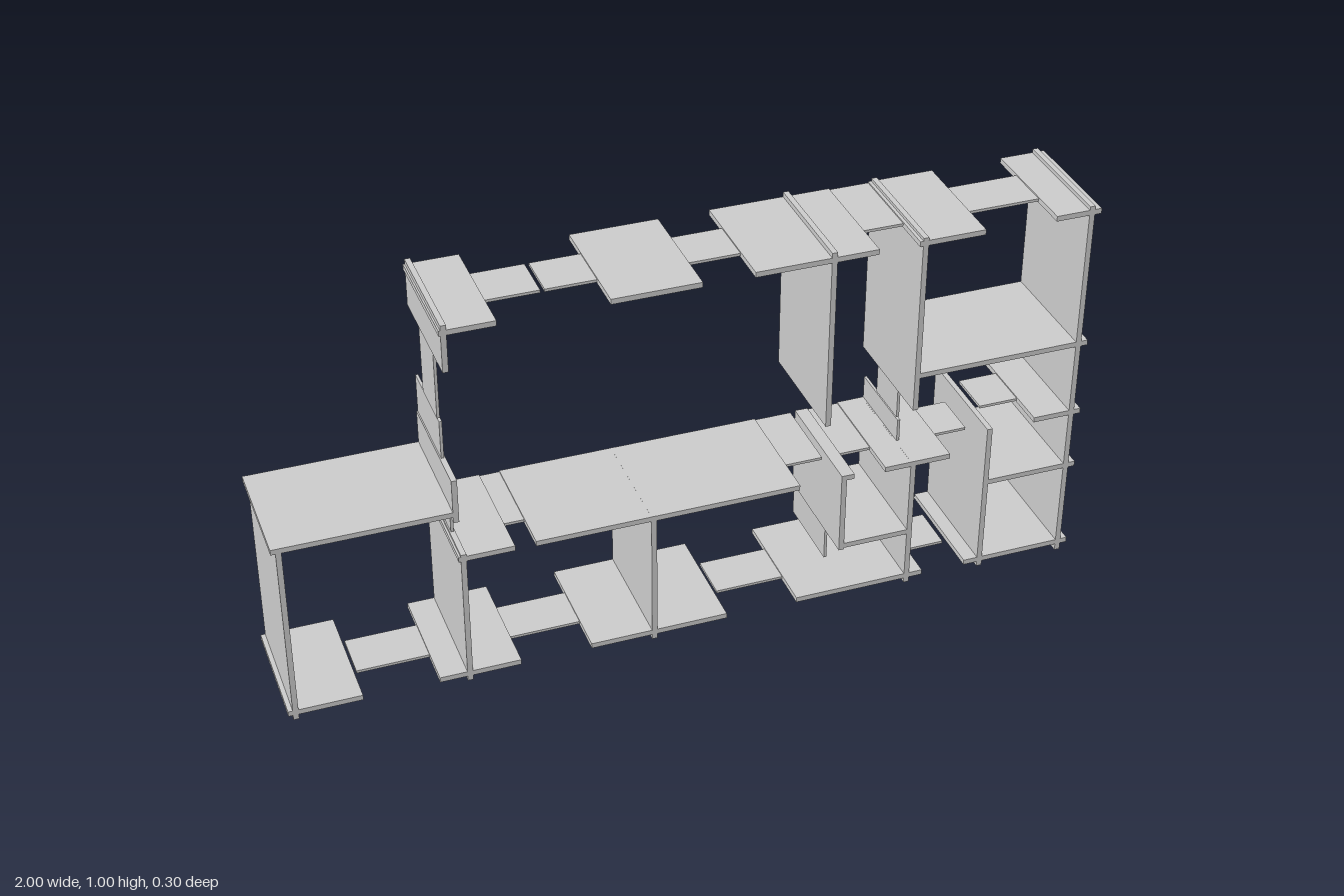
import * as THREE from 'three';

const T = 0.0135;   // board thickness
const LAP = 0.007;  // thickness of the lapped tongues
// depth ranges: whole board, central tongue, board with a notch at the front
const DEPTH = { full: [-0.15, 0.15], tongue: [-0.065, 0.055], notch: [-0.15, 0.055] };

export function createModel() {
  const group = new THREE.Group();
  const mat = new THREE.MeshStandardMaterial({ color: 0xcccccc });

  function box(name, x0, x1, y0, y1, kind) {
    const [z0, z1] = DEPTH[kind];
    const mesh = new THREE.Mesh(new THREE.BoxGeometry(x1 - x0, y1 - y0, z1 - z0), mat);
    mesh.position.set((x0 + x1) / 2, (y0 + y1) / 2, (z0 + z1) / 2);
    mesh.name = name;
    group.add(mesh);
  }
  const thick = (kind) => (kind === 'full' ? T : LAP) / 2;

  // a horizontal run of board segments: [x0, x1, kind]
  const shelf = (name, y, segments) => segments.forEach(([a, b, kind = 'full']) =>
    box(name, a, b, y - thick(kind), y + thick(kind), kind));

  // a vertical run of board segments: [y0, y1, kind]
  const upright = (name, x, segments) => segments.forEach(([a, b, kind = 'full']) =>
    box(name, x - thick(kind), x + thick(kind), a, b, kind));

  // Long shelves, jointed with thin tongues
  shelf('topShelf', 0.976, [
    [-0.59, -0.46], [-0.46, -0.332, 'tongue'], [-0.322, -0.2, 'tongue'],
    [-0.2, 0.015], [0.015, 0.14, 'tongue'], [0.14, 0.44], [0.44, 0.54, 'notch'],
    [0.54, 0.705], [0.705, 0.885, 'tongue'], [0.885, 1],
  ]);
  shelf('middleShelf', 0.363, [
    [-0.575, -0.44], [-0.44, -0.39, 'notch'], [-0.39, 0.265], [0.265, 0.36, 'notch'],
    [0.375, 0.405], [0.405, 0.485, 'notch'], [0.485, 0.655], [0.655, 0.74, 'tongue'],
  ]);
  shelf('bottomShelf', 0.025, [
    [-1, -0.822], [-0.815, -0.637, 'tongue'], [-0.637, -0.437],
    [-0.437, -0.262, 'tongue'], [-0.262, 0.083], [0.092, 0.265, 'tongue'],
    [0.265, 0.6], [0.6, 0.7, 'tongue'], [0.715, 1],
  ]);

  // Short shelves
  shelf('leftBayShelf', 0.492, [[-1, -0.575]]);
  shelf('smallBayShelf', 0.161, [[0.38, 0.56]]);
  shelf('rightLowShelf', 0.26, [[0.757, 1]]);
  shelf('rightMiddleShelf', 0.418, [[0.775, 0.875, 'tongue'], [0.875, 1]]);
  shelf('rightUpperShelf', 0.615, [[0.555, 1]]);

  // Uprights
  upright('endUpright', -0.982, [[0.005, 0.498]]);
  upright('lowerLeftUpright', -0.563, [[0.005, 0.375], [0.375, 0.47, 'notch']]);
  upright('upperLeftUpright', -0.575, [[0.47, 0.585], [0.585, 0.685, 'notch']]);
  upright('topLeftUpright', -0.579, [[0.695, 0.875, 'tongue'], [0.875, 0.995]]);
  upright('centreUpright', -0.102, [[0.005, 0.37]]);
  upright('hangingUpright', 0.331, [[0.525, 0.995]]);
  upright('smallBayUpright', 0.379, [[0.06, 0.15, 'notch'], [0.15, 0.37]]);
  upright('lowerBayUpright', 0.559, [[0.005, 0.37], [0.37, 0.43, 'notch']]);
  upright('upperBayUpright', 0.555, [[0.44, 0.52, 'tongue'], [0.52, 0.99]]);
  upright('rightLowUpright', 0.758, [[0.005, 0.418]]);
  upright('rightUpright', 0.976, [[0, 0.992]]);

  return group;
}
